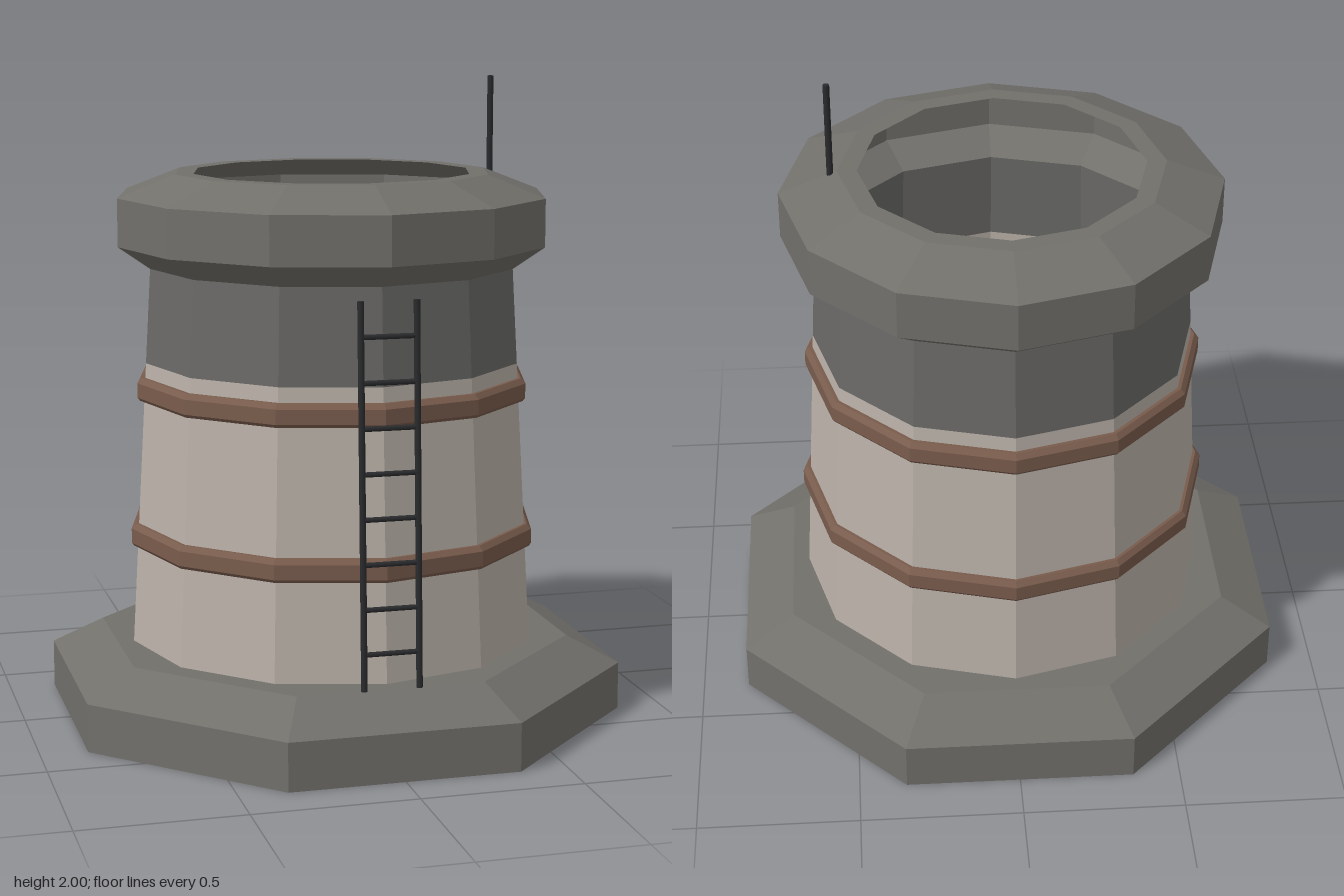
import * as THREE from 'three';

const mat = (name, color) => new THREE.MeshStandardMaterial({ name, color, side: THREE.DoubleSide });

export function createModel() {
  const model = new THREE.Group();
  model.name = 'tower';
  const concrete = mat('grey concrete', 0x72706b);
  const soot = mat('sooty grey', 0x6a6967);
  const plaster = mat('pale plaster', 0xbbb2a9);
  const rust = mat('rusty brown', 0x795c4d);
  const iron = mat('black iron', 0x2a2b2d);

  const add = (name, geometry, material, parent = model) => {
    const mesh = new THREE.Mesh(geometry, material);
    mesh.name = name;
    parent.add(mesh);
    return mesh;
  };

  // Faceted solid of revolution from a profile of [radius, y], listed upwards
  const facet = (name, profile, sides, material, turn = 0) => {
    const points = profile.map(([r, y]) => new THREE.Vector2(r, y));
    const geometry = new THREE.LatheGeometry(points, sides, turn).toNonIndexed();
    geometry.computeVertexNormals();
    return add(name, geometry, material);
  };

  // Round bar between two points
  const bar = (name, a, b, radius, parent = model) => {
    const from = new THREE.Vector3(...a), to = new THREE.Vector3(...b);
    const dir = to.clone().sub(from);
    const mesh = add(name, new THREE.CylinderGeometry(radius, radius, dir.length(), 8), iron, parent);
    mesh.position.copy(from).add(to).multiplyScalar(0.5);
    mesh.quaternion.setFromUnitVectors(new THREE.Vector3(0, 1, 0), dir.normalize());
    return mesh;
  };

  // Octagonal plinth, hollow underneath
  facet('plinth', [[0.925, 0], [0.925, 0.15], [0.757, 0.235], [0, 0.235]], 8, concrete, Math.PI / 8);

  // Tapered twelve-sided shaft in two colours
  facet('shaft', [[0.648, 0.235], [0.597, 1.125]], 12, plaster);
  facet('upperShaft', [[0.597, 1.125], [0.58, 1.42]], 12, soot);

  // Closed bands; the upper one forms the floor inside the hollow top
  for (const [name, r, y] of [['lowerBand', 0.65, 0.58], ['upperBand', 0.625, 1.043]]) {
    facet(name, [
      [0, y - 0.036], [r - 0.008, y - 0.036], [r, y - 0.026],
      [r, y + 0.02], [r - 0.014, y + 0.036], [0, y + 0.036],
    ], 12, rust);
  }

  // Hollow crown with a flat inner lip
  facet('crown', [[0.58, 1.42], [0.68, 1.49], [0.68, 1.64], [0.5, 1.71], [0.44, 1.71]], 12, concrete);

  // Leaning ladder on the front
  const ladder = new THREE.Group();
  ladder.name = 'ladder';
  model.add(ladder);
  const bottom = 0.235, top = 1.39;
  const depth = (y) => THREE.MathUtils.mapLinear(y, bottom, top, 0.703, 0.65);
  for (const x of [-0.085, 0.085]) {
    bar('ladderRail', [x, bottom, depth(bottom)], [x, top, depth(top)], 0.01, ladder);
  }
  for (let i = 0; i < 8; i++) {
    const y = 0.345 + i * 0.1343;
    bar('ladderRung', [-0.085, y, depth(y)], [0.085, y, depth(y)], 0.008, ladder);
  }

  // Thin mast on the crown
  bar('mast', [0.52, 1.69, 0], [0.52, 2, 0], 0.01);

  return model;
}
